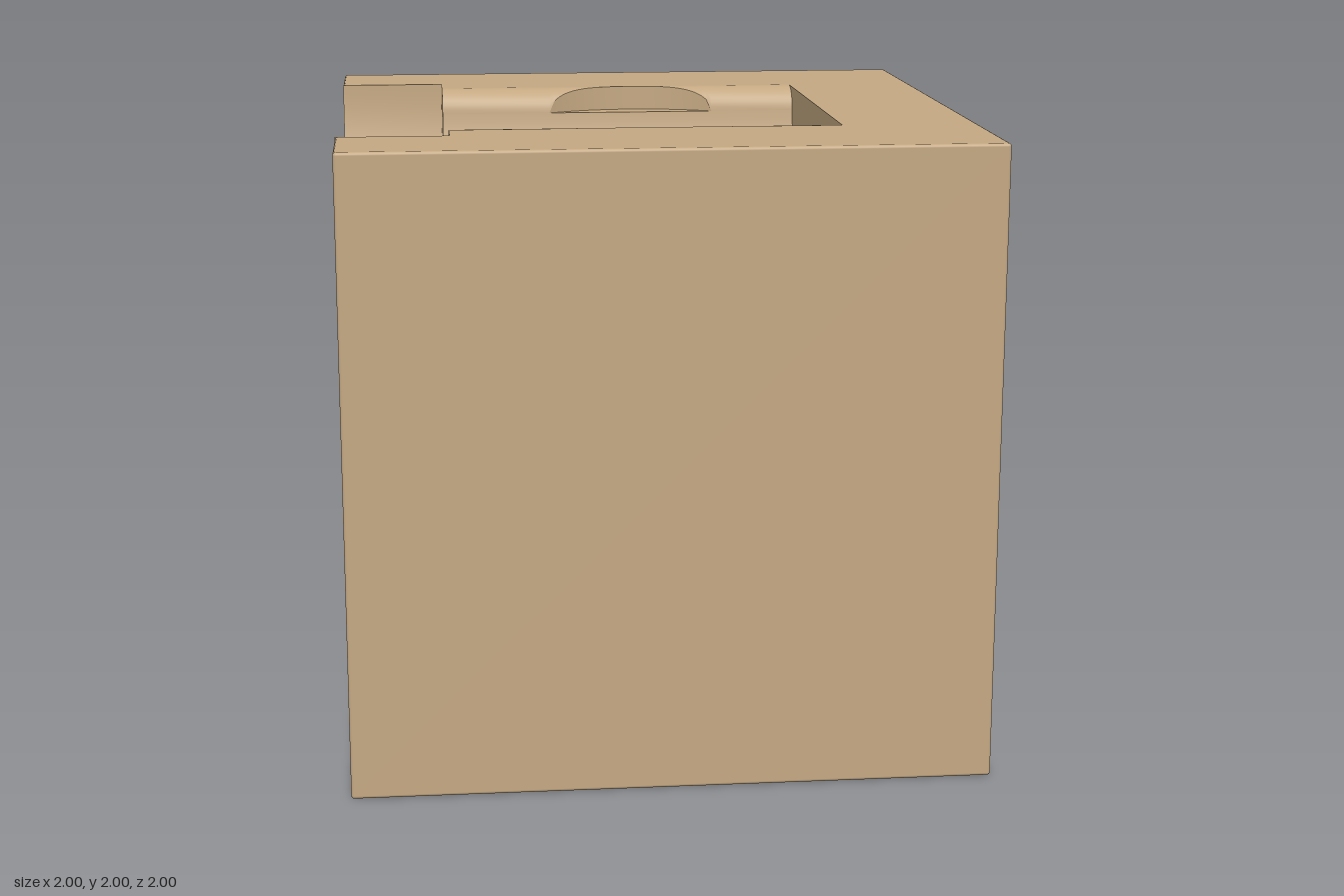
import * as THREE from 'three';
import { RoundedBoxGeometry } from 'three/addons/geometries/RoundedBoxGeometry.js';

const EDGE = 0.99;                       // flat extent of each cube face inside the small bevel
const STEP_X = -0.655, END_X = 0.57;     // where the narrow trough starts and ends
const WIDE_R = 0.67, AXIS_Y = 1.965;     // wide trough radius and height of both trough axes
const LIP = 0.08, LIP_Z = 0.545, WALL_Z = LIP_Z - LIP, LIP_Y = 2 - LIP;
const NARROW_R = Math.hypot(WALL_Z, AXIS_Y - LIP_Y);
const NARROW_A = Math.atan2(AXIS_Y - LIP_Y, WALL_Z);
const NOTCH_X = Math.sqrt(LIP_Z ** 2 - WALL_Z ** 2);

const lerp = THREE.MathUtils.lerp;
const range = (n, a, b) => Array.from({ length: n + 1 }, (_, i) => lerp(a, b, i / n));

// Smooth sheet from rows of points
function sheet(rows) {
  const n = rows[0].length, index = [];
  for (let i = 0; i < rows.length - 1; i++)
    for (let j = 0; j < n - 1; j++) {
      const a = i * n + j, b = a + n;
      index.push(a, a + 1, b, b, a + 1, b + 1);
    }
  const g = new THREE.BufferGeometry();
  g.setAttribute('position', new THREE.Float32BufferAttribute(rows.flat(2), 3));
  g.setIndex(index);
  g.computeVertexNormals();
  return g;
}

// Trough sections as [z, y], running from +z to -z
const arc = (r, a) => range(48, a, Math.PI - a).map(t => [r * Math.cos(t), AXIS_Y - r * Math.sin(t)]);
const wideArc = top => [[WIDE_R, top], ...arc(WIDE_R, 0), [-WIDE_R, top]];
const lipArc = range(8, 0, Math.PI / 2).map(t => [LIP_Z - LIP * Math.sin(t), LIP_Y + LIP * Math.cos(t)]);
const narrowFull = [...lipArc, ...arc(NARROW_R, NARROW_A).slice(1, -1),
  ...lipArc.map(([z, y]) => [-z, y]).reverse()];

const flat = pts => new THREE.ShapeGeometry(new THREE.Shape(pts.map(p => new THREE.Vector2(...p))));
const facingEnd = (pts, x) => flat(pts).rotateY(-Math.PI / 2).translate(x, 0, 0);
const along = (section, x0, x1) => sheet([x0, x1].map(x => section.map(([z, y]) => [x, y, z])));

// Bevelled cube without its top and open end; the bevel between them is cut around the trough
function shellGeometry() {
  const src = new RoundedBoxGeometry(2, 2, 2, 2, 1 - EDGE);
  const p = src.attributes.position, nr = src.attributes.normal;
  const pos = [], nor = [];
  for (let i = 0; i < p.count; i += 3) {
    const ids = [i, i + 1, i + 2];
    const all = f => ids.every(f);
    if (all(k => p.getY(k) > 0.9999) || all(k => p.getX(k) < -0.9999)) continue;
    const zs = ids.map(k => p.getZ(k));
    const strip = all(k => p.getX(k) < -0.98 && p.getY(k) > 0.98) && Math.max(...zs) - Math.min(...zs) > 1;
    for (const s of strip ? [1, -1] : [0])
      for (const k of ids) {
        const z = p.getZ(k);
        pos.push(p.getX(k), p.getY(k) + 1, s === 0 ? z : s * (z * s > 0 ? EDGE : WIDE_R));
        nor.push(nr.getX(k), nr.getY(k), nr.getZ(k));
      }
  }
  const g = new THREE.BufferGeometry();
  g.setAttribute('position', new THREE.Float32BufferAttribute(pos, 3));
  g.setAttribute('normal', new THREE.Float32BufferAttribute(nor, 3));
  return g;
}

export function createModel() {
  const model = new THREE.Group();
  model.name = 'troughBlock';
  const tan = new THREE.MeshStandardMaterial({ color: 0xc4a882, side: THREE.DoubleSide });
  tan.name = 'tan';
  const add = (name, geometry) => {
    const m = new THREE.Mesh(geometry, tan);
    m.name = name;
    model.add(m);
  };

  // Cube
  add('cubeShell', shellGeometry());
  const halfTop = [[EDGE, EDGE], [-EDGE, EDGE], [-EDGE, WIDE_R], [STEP_X, WIDE_R], [STEP_X, LIP_Z], [END_X, LIP_Z]];
  const mirrored = halfTop.map(([x, z]) => [x, -z]).reverse();
  add('topFace', flat([...halfTop, ...mirrored]).rotateX(-Math.PI / 2).translate(0, 2, 0));
  const endTop = 1 + EDGE;
  add('openEndFace', facingEnd([[-EDGE, endTop], [-EDGE, 1 - EDGE], [EDGE, 1 - EDGE], [EDGE, endTop],
    ...wideArc(endTop)], -1));

  // Stepped trough
  add('wideTrough', along(wideArc(2), -1, STEP_X));
  add('narrowTrough', along(arc(NARROW_R, NARROW_A), STEP_X, END_X));
  add('troughStep', facingEnd([...wideArc(2), ...[...narrowFull].reverse()], STEP_X));
  add('troughEndWall', facingEnd(narrowFull, END_X));

  // Rounded lips, each with a shallow circular notch
  const notchXs = range(32, -NOTCH_X, NOTCH_X);
  const cutZ = x => Math.min(LIP_Z, Math.max(WALL_Z, Math.sqrt(Math.max(0, LIP_Z ** 2 - x * x))));
  const lipEnd = x => Math.abs(x) >= NOTCH_X ? Math.PI / 2 : Math.asin(Math.min(1, (LIP_Z - cutZ(x)) / LIP));
  const lipPoint = (x, t, s) => [x, LIP_Y + LIP * Math.cos(t), s * (LIP_Z - LIP * Math.sin(t))];
  for (const s of [1, -1]) {
    const side = s > 0 ? 'front' : 'back';
    const order = rows => s > 0 ? rows : rows.reverse();
    add(side + 'Lip', sheet(order([STEP_X, ...notchXs, END_X].map(x =>
      range(8, 0, lipEnd(x)).map(t => lipPoint(x, t, s))))));
    add(side + 'NotchWall', sheet(order(notchXs.map(x =>
      [lipPoint(x, lipEnd(x), s), [x, LIP_Y, s * cutZ(x)]]))));
    add(side + 'NotchFloor', sheet(order(notchXs.map(x =>
      [[x, LIP_Y, s * cutZ(x)], [x, LIP_Y, s * WALL_Z]]))));
  }
  return model;
}
